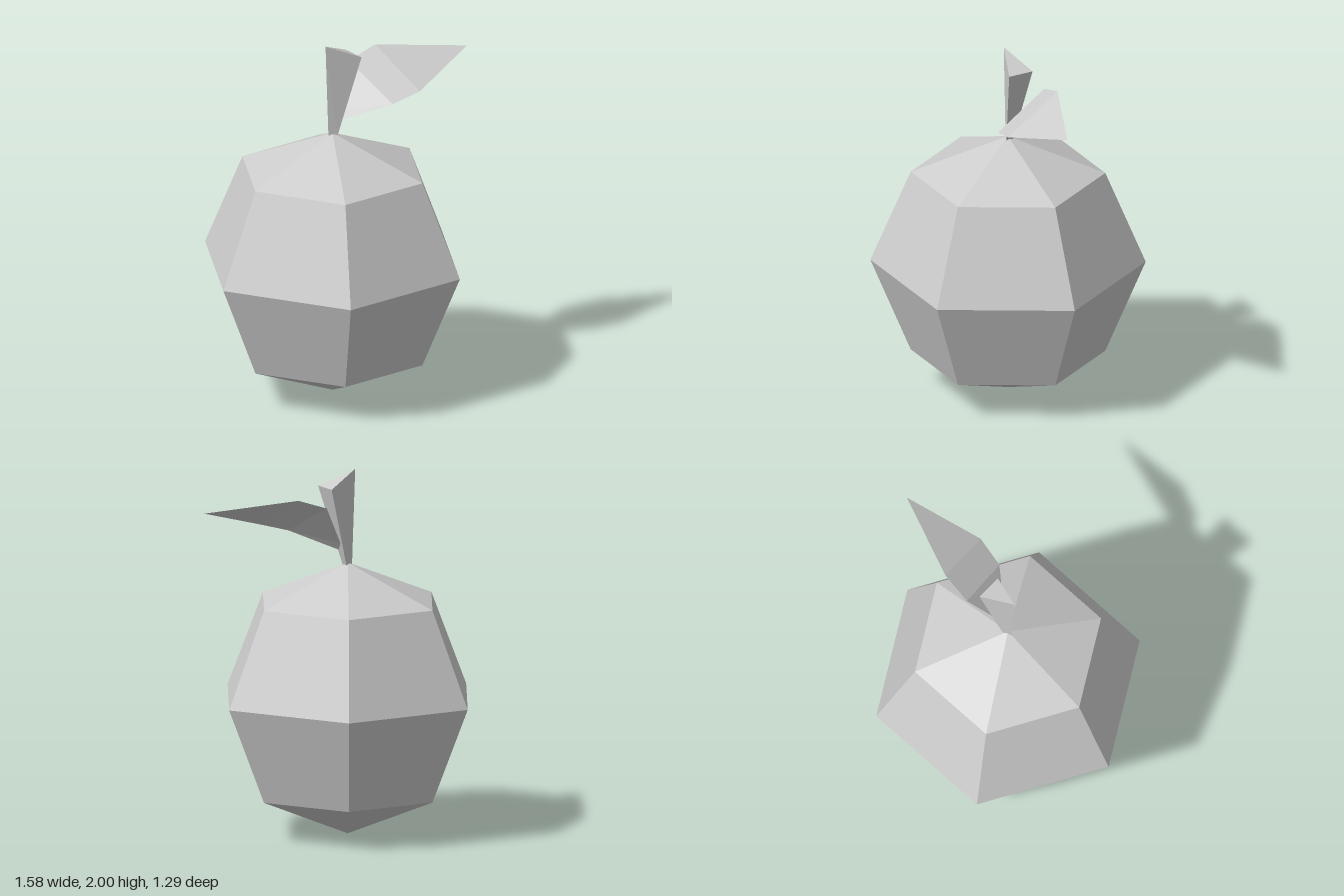
import * as THREE from 'three';

// Flat-faced geometry from polygons, each a counter-clockwise list of corners
function facesGeometry(polygons) {
  const positions = [];
  for (const p of polygons) {
    for (let i = 1; i < p.length - 1; i++) positions.push(...p[0], ...p[i], ...p[i + 1]);
  }
  const geometry = new THREE.BufferGeometry();
  geometry.setAttribute('position', new THREE.Float32BufferAttribute(positions, 3));
  geometry.computeVertexNormals();
  return geometry;
}

export function createModel() {
  const model = new THREE.Group();
  model.name = 'fruit';
  const grey = new THREE.MeshStandardMaterial({
    color: 0xcccccc, flatShading: true, side: THREE.DoubleSide,
  });
  grey.name = 'light grey';

  const add = (name, geometry) => {
    const mesh = new THREE.Mesh(geometry, grey);
    mesh.name = name;
    model.add(mesh);
    return mesh;
  };

  // Six-sided fruit body with corners on the x axis
  const profile = [[0, 0], [0.525, 0.22], [0.743, 0.75], [0.525, 1.275], [0, 1.49]];
  const body = add('fruitBody', new THREE.LatheGeometry(
    profile.map(([r, y]) => new THREE.Vector2(r, y)), 6, Math.PI / 2));
  body.position.x = -0.053;

  // Three-sided stem, flaring to a slanted top
  const top = [[-0.1, 2, 0], [0.09, 1.915, 0.072], [0.09, 1.915, -0.072]];
  const bottom = [[-0.08, 1.47, 0], [-0.035, 1.47, 0.02], [-0.035, 1.47, -0.02]];
  const stemFaces = [top, [...bottom].reverse()];
  for (let i = 0; i < 3; i++) {
    const j = (i + 1) % 3;
    stemFaces.push([top[i], bottom[i], bottom[j], top[j]]);
  }
  add('stem', facesGeometry(stemFaces));

  // Thin leaf: strips between its back and front edges, ending in a point
  const back = [[0, 1.6, -0.015], [0.145, 1.825, -0.113], [0.315, 1.882, -0.1]];
  const front = [[-0.01, 1.56, 0.02], [0.2, 1.657, 0.203], [0.365, 1.702, 0.232]];
  const tip = [0.787, 1.825, 0.1];
  const leafFaces = [[back[2], front[2], tip]];
  for (let i = 0; i < 2; i++) {
    leafFaces.push([back[i], front[i], front[i + 1], back[i + 1]]);
  }
  add('leaf', facesGeometry(leafFaces));

  return model;
}
